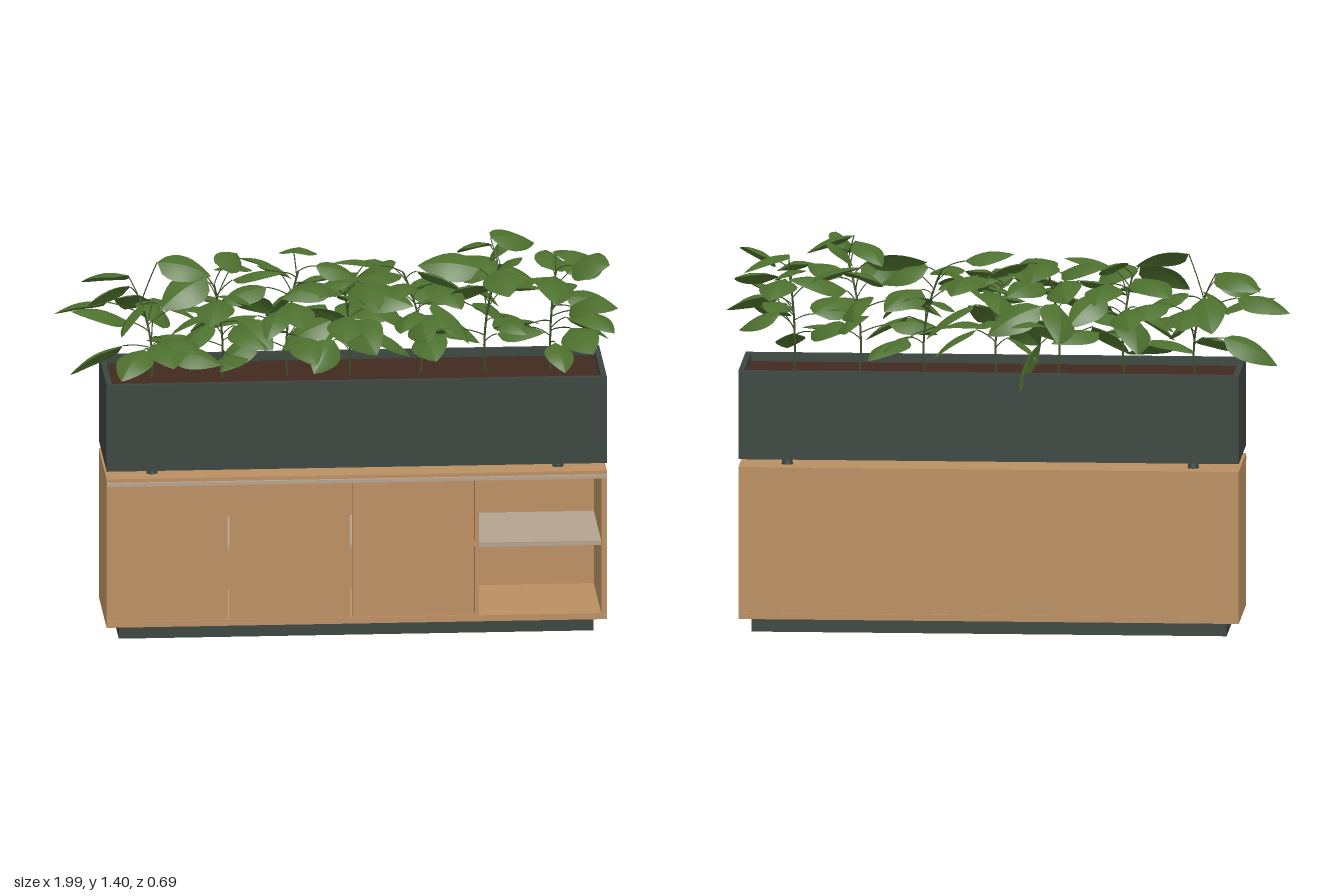
import * as THREE from 'three';
import { mergeGeometries } from 'three/addons/utils/BufferGeometryUtils.js';

const material = (name, color, side = THREE.FrontSide) => {
  const m = new THREE.MeshStandardMaterial({ color, side });
  m.name = name;
  return m;
};
const V = (x, y, z) => new THREE.Vector3(x, y, z);

// Small seeded generator so every plant differs but stays repeatable
function seeded(seed) {
  let s = seed;
  return (lo, hi) => {
    s = (s * 16807) % 2147483647;
    return lo + (hi - lo) * (s / 2147483647);
  };
}

// Pointed oval leaf, creased at the midrib, arching from base to tip
function leafGeometry(base, tip, width, roll) {
  const dir = tip.clone().sub(base), length = dir.length();
  const axis = dir.clone().normalize();
  const side = axis.clone().cross(V(0, 1, 0)).normalize().applyAxisAngle(axis, roll);
  const normal = side.clone().cross(axis);
  const pos = [], idx = [], steps = 8, cols = 3;
  for (const half of [-1, 1]) {
    const start = pos.length / 3;
    for (let i = 0; i <= steps; i++) {
      const t = i / steps;
      const hw = width / 2 * Math.pow(Math.sin(Math.PI * Math.pow(t, 0.75)), 0.85);
      for (let j = 0; j < cols; j++) {
        const u = half < 0 ? j / (cols - 1) - 1 : j / (cols - 1);
        const p = base.clone().addScaledVector(dir, t)
          .addScaledVector(side, hw * u)
          .addScaledVector(normal, 0.1 * length * Math.sin(Math.PI * t) - hw * (0.12 * Math.abs(u) + 0.2 * u * u));
        pos.push(p.x, p.y, p.z);
      }
    }
    for (let i = 0; i < steps; i++) {
      for (let j = 0; j < cols - 1; j++) {
        const a = start + i * cols + j, b = a + cols;
        idx.push(a, a + 1, b, b, a + 1, b + 1);
      }
    }
  }
  const g = new THREE.BufferGeometry();
  g.setAttribute('position', new THREE.Float32BufferAttribute(pos, 3));
  g.setIndex(idx);
  g.computeVertexNormals();
  return g;
}

export function createModel() {
  const model = new THREE.Group();
  model.name = 'planterCabinet';
  const wood = material('wood', 0xba8f62);
  const dark = material('darkMetal', 0x3b4540);
  const grey = material('greyTrim', 0xb3a28f);
  const soil = material('soil', 0x422a20);
  const leafGreen = material('leafGreen', 0x4c6f2d, THREE.DoubleSide);
  const stemGreen = material('stemGreen', 0x3a5224);

  const add = (name, geometry, mat, parent = model) => {
    const mesh = new THREE.Mesh(geometry, mat);
    mesh.name = name;
    parent.add(mesh);
    return mesh;
  };
  // Box given by its limits on each axis
  const box = (name, mat, x0, x1, y0, y1, z0, z1, parent) => {
    const mesh = add(name, new THREE.BoxGeometry(x1 - x0, y1 - y0, z1 - z0), mat, parent);
    mesh.position.set((x0 + x1) / 2, (y0 + y1) / 2, (z0 + z1) / 2);
    return mesh;
  };
  const X0 = -0.83, X1 = 0.935, Z0 = -0.22, Z1 = 0.2;

  // Cabinet carcass
  const cabinet = new THREE.Group();
  cabinet.name = 'cabinet';
  model.add(cabinet);
  box('plinth', dark, -0.785, 0.89, 0, 0.05, -0.185, 0.165, cabinet);
  box('bottomPanel', wood, X0, X1, 0.05, 0.072, Z0, Z1, cabinet);
  box('topPanel', wood, X0, X1, 0.57, 0.592, Z0, Z1, cabinet);
  box('leftSide', wood, X1 - 0.02, X1, 0.072, 0.57, Z0, Z1, cabinet);
  box('rightSide', wood, X0, X0 + 0.02, 0.072, 0.57, Z0, 0.182, cabinet);
  box('backPanel', wood, X0 + 0.02, X1 - 0.02, 0.072, 0.57, -0.216, -0.2, cabinet);
  box('divider', wood, 0.47, 0.484, 0.072, 0.57, -0.2, 0.196, cabinet);

  // Three doors with narrow gaps
  const doorEdges = [X0, -0.4, 0.033, 0.47];
  for (let i = 0; i < 3; i++) {
    box('door', wood, doorEdges[i] + (i ? 0.004 : 0), doorEdges[i + 1] - 0.004, 0.074, 0.568, 0.184, Z1, cabinet);
  }

  // Shelves and front rail
  box('innerShelf', grey, X0 + 0.02, 0.47, 0.32, 0.336, -0.2, 0.18, cabinet);
  box('openShelf', grey, 0.484, 0.915, 0.32, 0.336, -0.2, 0.196, cabinet);
  box('frontRail', grey, X0, X1, 0.567, 0.579, Z1, 0.212, cabinet);

  // Trough on four feet
  const trough = new THREE.Group();
  trough.name = 'trough';
  model.add(trough);
  for (const x of [-0.665, 0.767]) {
    for (const z of [-0.14, 0.123]) {
      add('foot', new THREE.CylinderGeometry(0.016, 0.02, 0.028, 16), dark, trough).position.set(x, 0.606, z);
    }
  }
  box('troughBase', dark, X0, X1, 0.62, 0.64, Z0, Z1, trough);
  box('troughFront', dark, X0, X1, 0.64, 0.935, Z1 - 0.02, Z1, trough);
  box('troughBack', dark, X0, X1, 0.64, 0.935, Z0, Z0 + 0.02, trough);
  for (const x of [X0, X1 - 0.02]) {
    box('troughEnd', dark, x, x + 0.02, 0.64, 0.935, Z0 + 0.02, Z1 - 0.02, trough);
  }
  box('soilBed', soil, X0 + 0.02, X1 - 0.02, 0.64, 0.905, Z0 + 0.02, Z1 - 0.02, trough);

  // Plants: x, top height, lean, leaf count, and far leaf tips (x, y, z, roll)
  const plants = [
    [-0.66, 1.19, -0.04, 10, [[-1, 1.13, -0.05, 0.3], [-0.95, 0.93, 0.04, 0.5], [-0.9, 1.22, -0.14, 0.3], [-0.6, 1.02, 0.31, 0], [-0.63, 1.1, -0.28, 0], [-0.45, 1.28, 0.03, 0.5]]],
    [-0.41, 1.25, -0.03, 13, [[-0.33, 1.2, -0.35, 0], [-0.45, 1.1, -0.29, 0.3], [-0.47, 1.15, 0.23, 0], [-0.27, 1.06, 0.23, 0.2]]],
    [-0.18, 1.28, 0.04, 13, [[-0.06, 0.88, -0.31, 1.2], [-0.23, 1.2, -0.31, 0.4], [-0.1, 1.27, -0.3, 0], [-0.14, 1.14, 0.25, 0]]],
    [0.04, 1.22, -0.02, 12, [[0, 1.1, 0.3, 0], [0.01, 1.16, -0.33, -0.4], [0.13, 1.2, 0.23, 0.3], [0.18, 1.22, -0.3, 0]]],
    [0.29, 1.27, -0.06, 13, [[0.3, 1.08, 0.24, 0.5], [0.42, 1.2, 0.24, 0], [0.48, 0.97, -0.2, 0]]],
    [0.52, 1.31, 0.05, 13, [[0.58, 1.27, 0.34, 0.2], [0.52, 1.12, -0.25, 0.6], [0.7, 1.34, -0.12, 0.4]]],
    [0.75, 1.27, 0.02, 11, [[0.99, 1.12, -0.03, 0.4], [0.96, 1.1, 0.23, 0], [0.82, 1.2, -0.32, 0], [0.88, 1.05, 0.32, 0.3], [0.92, 1.27, -0.14, 0.2]]],
  ];
  plants.forEach(([x, top, lean, count, farTips], n) => {
    const rnd = seeded(1237 + n * 7919);
    for (let i = 0; i < 5; i++) rnd(0, 1);
    const plant = new THREE.Group();
    plant.name = 'plant';
    model.add(plant);
    const z = rnd(-0.04, 0.02);
    const stem = new THREE.QuadraticBezierCurve3(V(x, 0.9, z), V(x - lean * 0.4, (0.9 + top) / 2, z), V(x + lean, top, z + rnd(-0.05, 0.05)));
    const stems = [new THREE.TubeGeometry(stem, 8, 0.004, 6)];
    const leaves = [];
    const grow = (from, base, tip, width, roll) => {
      const mid = from.clone().lerp(base, 0.5).add(V(0, 0.012, 0));
      stems.push(new THREE.TubeGeometry(new THREE.QuadraticBezierCurve3(from, mid, base), 4, 0.002, 4));
      leaves.push(leafGeometry(base, tip, width, roll));
    };
    for (let k = 0; k < count; k++) {
      const f = 0.28 + 0.72 * k / (count - 1);
      const angle = k * 2.4 + n * 1.3 + rnd(-0.4, 0.4);
      const out = V(Math.cos(angle), 0, Math.sin(angle));
      const from = stem.getPoint(f);
      const base = from.clone().addScaledVector(out, rnd(0.04, 0.12) * (1.2 - 0.5 * f)).add(V(0, rnd(0.01, 0.06), 0));
      const length = rnd(0.16, 0.22), pitch = rnd(-0.75, 0.15) + 0.25 * f;
      const tip = base.clone().addScaledVector(out, length * Math.cos(pitch)).add(V(0, length * Math.sin(pitch), 0));
      tip.y = THREE.MathUtils.clamp(tip.y, 0.95, top + 0.05);
      tip.z = THREE.MathUtils.clamp(tip.z, -0.3, 0.28);
      tip.x = THREE.MathUtils.clamp(tip.x, -0.95, 0.95);
      grow(from, base, tip, length * rnd(0.6, 0.72), rnd(-0.7, 0.7));
    }
    for (const [tx, ty, tz, roll] of farTips) {
      const tip = V(tx, ty, tz);
      const out = V(tx - x, 0, tz - z).normalize();
      const from = stem.getPoint(THREE.MathUtils.clamp((ty - 0.9) / (top - 0.9), 0.4, 0.95));
      const base = tip.clone().addScaledVector(out, -0.19);
      base.y = Math.max(ty + 0.05, 1.03);
      grow(from, base, tip, 0.135, roll);
    }
    add('stems', mergeGeometries(stems), stemGreen, plant);
    add('leaves', mergeGeometries(leaves), leafGreen, plant);
  });

  return model;
}
